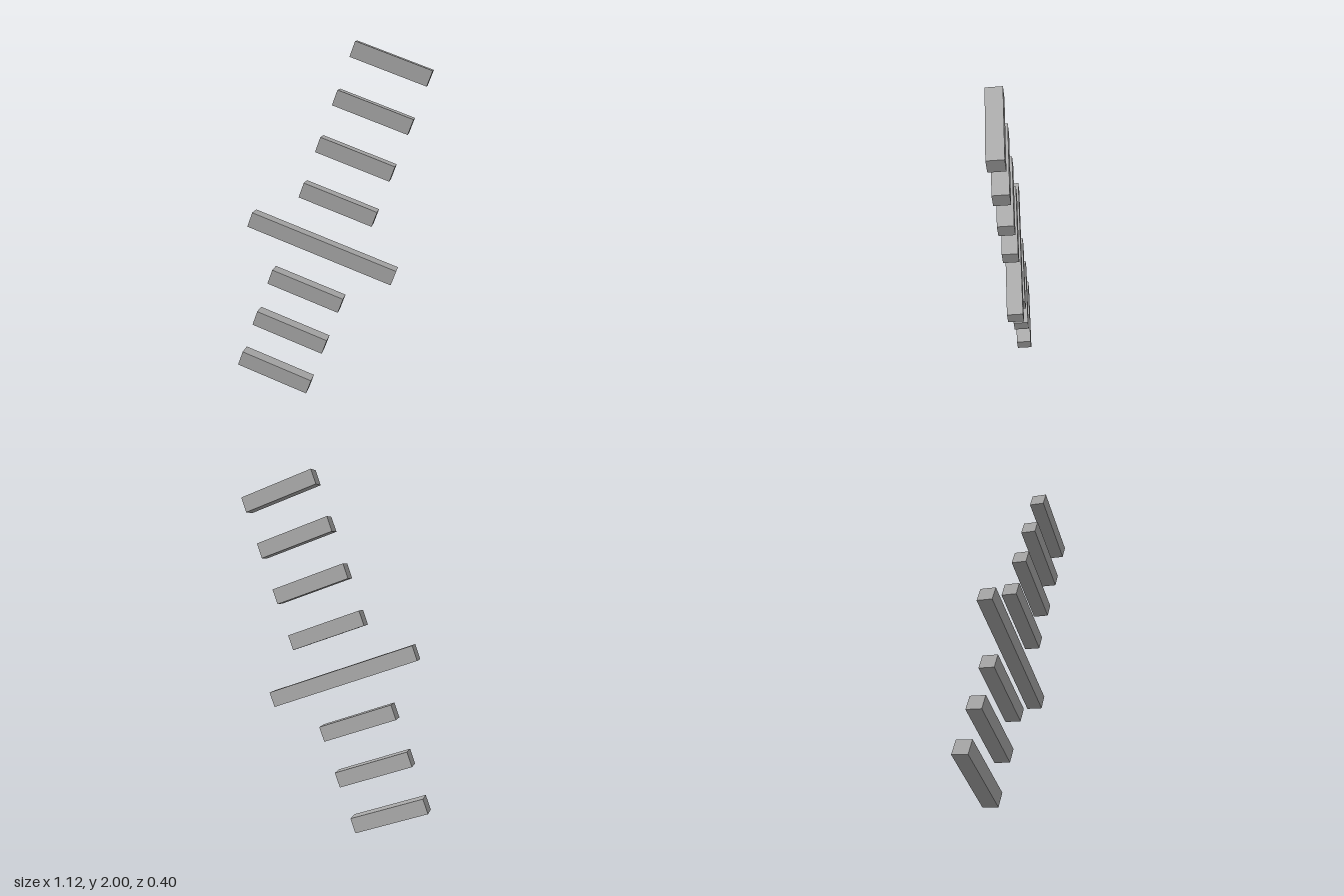
import * as THREE from 'three';

export function createModel() {
  const model = new THREE.Group();
  model.name = 'tiltedBars';
  const grey = new THREE.MeshStandardMaterial({ color: 0xaaaaaa });
  grey.name = 'grey';

  const side = 0.0864;    // square section of every bar
  const spacing = 0.2696; // distance between bars along the stack
  const longIndex = 3;    // the fourth bar from the bottom is twice as long

  // Tilted stack: x runs along the bars, y up the stack
  const stack = new THREE.Group();
  stack.name = 'barStack';
  const up = new THREE.Vector3(0.363, 0.93, -0.058).normalize();
  const along = new THREE.Vector3(0.856, -0.362, -0.368);
  along.addScaledVector(up, -along.dot(up)).normalize();
  const depth = new THREE.Vector3().crossVectors(along, up);
  stack.quaternion.setFromRotationMatrix(new THREE.Matrix4().makeBasis(along, up, depth));
  stack.position.set(-0.049, 0.875, 0);
  model.add(stack);

  // Eight bars, three short below the long one and four above
  const shortBar = new THREE.BoxGeometry(side * 5, side, side);
  const longBar = new THREE.BoxGeometry(side * 10, side, side);
  for (let i = 0; i < 8; i++) {
    const isLong = i === longIndex;
    const bar = new THREE.Mesh(isLong ? longBar : shortBar, grey);
    bar.name = isLong ? 'longBar' : `shortBar${i + 1}`;
    bar.position.y = (i - longIndex) * spacing;
    stack.add(bar);
  }
  return model;
}
